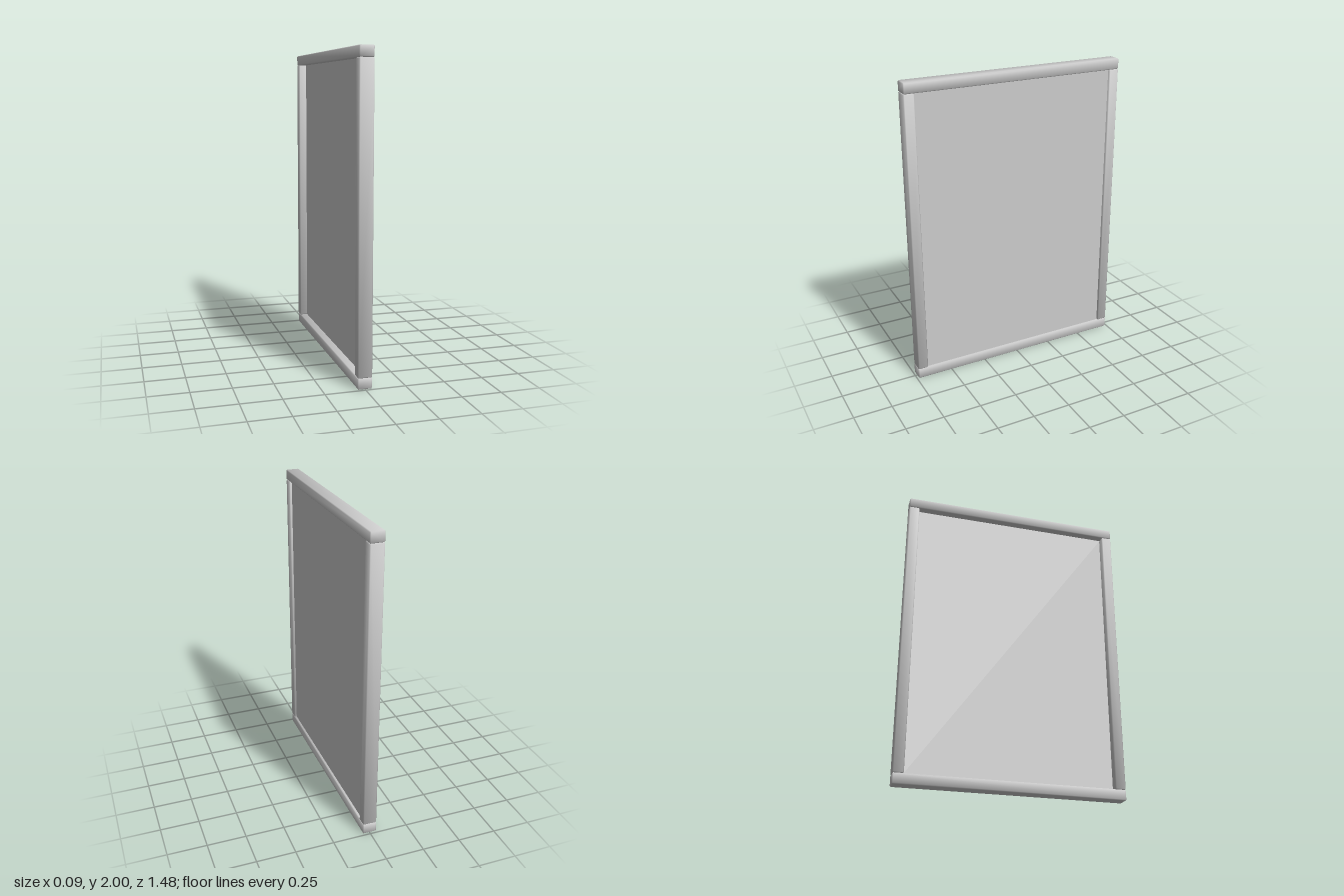
import * as THREE from 'three';
import { ConvexGeometry } from 'three/addons/geometries/ConvexGeometry.js';

const HEIGHT = 2, LENGTH = 1.476, DEPTH = 0.09, BAR = 0.068, BEVEL = 0.006;

// Bar with chamfered edges and softly rolling normals across them
function softBar(w, h, d) {
  const half = [w / 2, h / 2, d / 2];
  const points = [];
  for (const sx of [-1, 1]) for (const sy of [-1, 1]) for (const sz of [-1, 1]) {
    for (let axis = 0; axis < 3; axis++) {
      const p = [sx, sy, sz].map((s, i) => s * (half[i] - (i === axis ? 0 : BEVEL)));
      points.push(new THREE.Vector3(...p));
    }
  }
  const geometry = new ConvexGeometry(points);
  const pos = geometry.attributes.position, normal = geometry.attributes.normal;
  const n = new THREE.Vector3();
  for (let i = 0; i < pos.count; i++) {
    const weights = half.map((size, axis) => {
      const v = pos.getComponent(i, axis);
      return Math.sign(v) * (Math.abs(v) > size - BEVEL / 2 ? 2.6 : 1);
    });
    n.set(...weights).normalize();
    normal.setXYZ(i, n.x, n.y, n.z);
  }
  return geometry;
}

export function createModel() {
  const group = new THREE.Group();
  group.name = 'framedPanel';
  const grey = new THREE.MeshStandardMaterial({ color: 0xcccccc });
  grey.name = 'lightGrey';

  const add = (name, geometry, x, y, z) => {
    const mesh = new THREE.Mesh(geometry, grey);
    mesh.name = name;
    mesh.position.set(x, y, z);
    group.add(mesh);
  };

  // Full-length rails at top and bottom
  const rail = softBar(DEPTH, BAR, LENGTH);
  add('bottomRail', rail, 0, BAR / 2, 0);
  add('topRail', rail, 0, HEIGHT - BAR / 2, 0);

  // Upright stiles between the rails
  const stile = softBar(DEPTH, HEIGHT - 2 * BAR, BAR);
  const stileZ = (LENGTH - BAR) / 2;
  add('frontStile', stile, 0, HEIGHT / 2, stileZ);
  add('backStile', stile, 0, HEIGHT / 2, -stileZ);

  // Thin panel set nearer the +x face, tucked slightly into the frame
  const tuck = 0.02;
  const panel = new THREE.BoxGeometry(0.022, HEIGHT - 2 * BAR + tuck, LENGTH - 2 * BAR + tuck);
  add('panel', panel, 0.017, HEIGHT / 2, 0);

  return group;
}
